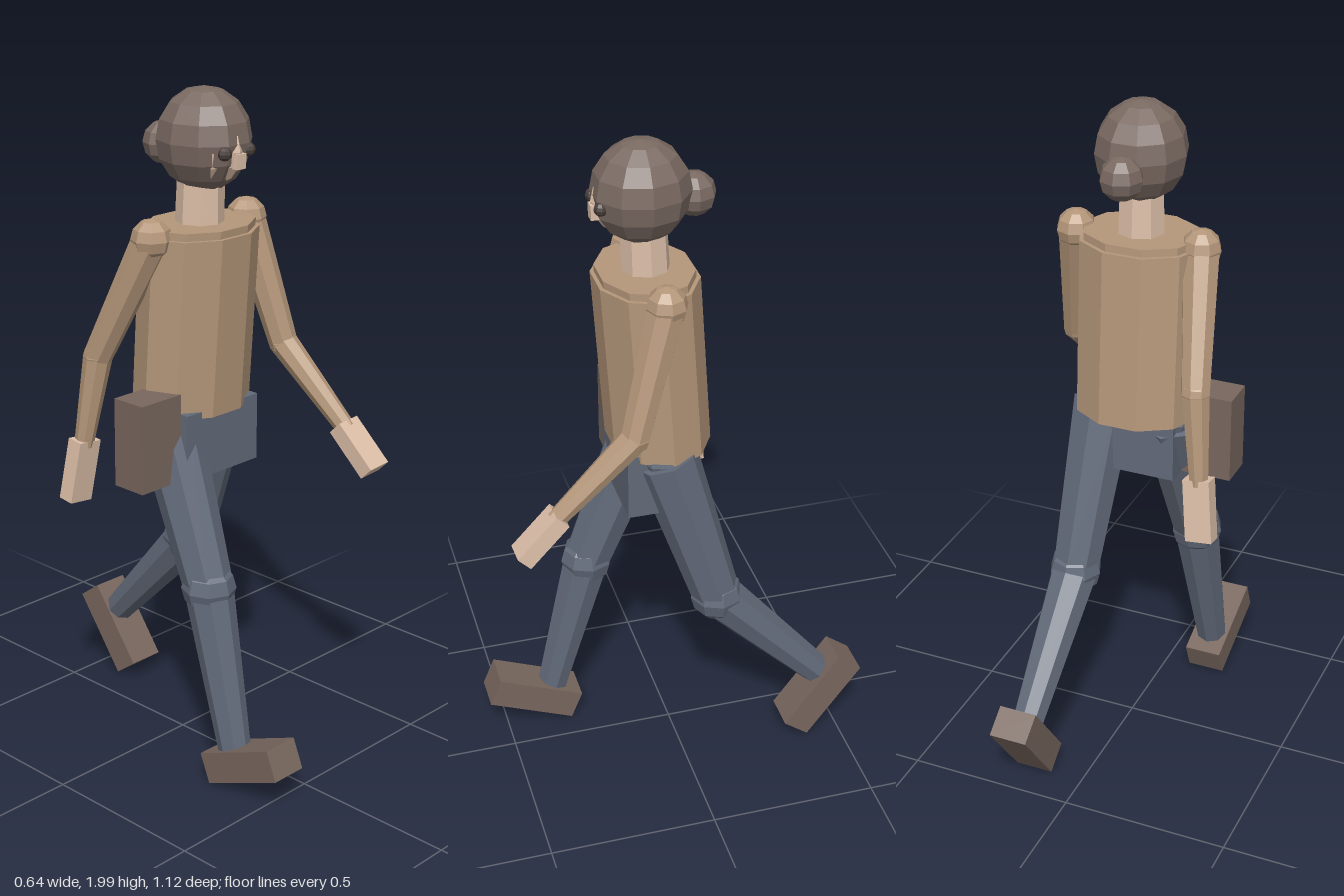
import * as THREE from 'three';

const mat = (color) => new THREE.MeshStandardMaterial({ color, flatShading: true });
const V = (p) => new THREE.Vector3(...p);

export function createModel() {
  const model = new THREE.Group();
  model.name = 'walkingFigure';
  const hair = mat(0x7a6a62), skin = mat(0xdcbfa8), shirt = mat(0xb5977a);
  const trousers = mat(0x626a79), leather = mat(0x78675e), dark = mat(0x4a3f3b);

  const add = (name, geometry, material, pos = [0, 0, 0], parent = model) => {
    const mesh = new THREE.Mesh(geometry, material);
    mesh.name = name;
    mesh.position.set(...pos);
    parent.add(mesh);
    return mesh;
  };
  const ball = (name, r, material, pos, parent, w = 8, h = 6) =>
    add(name, new THREE.SphereGeometry(r, w, h), material, pos, parent);
  const box = (name, size, material, pos, parent) =>
    add(name, new THREE.BoxGeometry(...size), material, pos, parent);

  // Tapered limb section running from a to b
  const limb = (name, a, b, ra, rb, material, parent) => {
    const d = V(b).sub(V(a));
    const mesh = add(name, new THREE.CylinderGeometry(ra, rb, d.length(), 8), material,
      V(a).add(V(b)).multiplyScalar(0.5).toArray(), parent);
    mesh.quaternion.setFromUnitVectors(V([0, -1, 0]), d.normalize());
    return mesh;
  };

  // Torso: ten-sided elliptical prism, leaning forward towards the top
  const prism = (name, rx, rz, y0, y1) => {
    const g = new THREE.CylinderGeometry(1, 1, y1 - y0, 10);
    g.rotateY(Math.PI / 2);
    g.scale(rx, 1, rz);
    g.translate(0, (y0 + y1) / 2, 0);
    const p = g.attributes.position;
    for (let i = 0; i < p.count; i++) p.setZ(i, p.getZ(i) + 0.033 + (p.getY(i) - 1.08) * 0.064);
    g.computeVertexNormals();
    return add(name, g, shirt);
  };
  prism('torso', 0.187, 0.15, 1.08, 1.6);
  prism('shoulderPlate', 0.175, 0.138, 1.59, 1.622);
  box('pelvis', [0.29, 0.2, 0.2], trousers, [0, 1.0, 0.06]);

  // Neck and head
  limb('neck', [0, 1.76, 0.07], [0, 1.6, 0.065], 0.066, 0.07, skin);
  const head = new THREE.Group();
  head.name = 'head';
  model.add(head);
  ball('hair', 1, hair, [0.004, 1.855, 0.077], head, 10, 8).scale.set(0.132, 0.145, 0.14);
  ball('face', 1, skin, [0, 1.835, 0.093], head, 8, 8).scale.set(0.1, 0.11, 0.124);
  ball('bun', 0.063, hair, [0, 1.825, -0.072], head);
  box('nose', [0.034, 0.042, 0.04], skin, [0.004, 1.81, 0.2], head);
  for (const s of [-1, 1]) ball('eye', 0.02, dark, [0.004 + s * 0.047, 1.835, 0.2], head);

  // Arms
  const arms = [
    { side: 'left', shoulder: [0.197, 1.6, 0.06], elbow: [0.248, 1.235, 0.165],
      wrist: [0.265, 1.02, 0.4], tip: [0.272, 0.92, 0.5] },
    { side: 'right', shoulder: [-0.183, 1.6, 0.06], elbow: [-0.237, 1.24, -0.105],
      wrist: [-0.265, 0.97, -0.14], tip: [-0.283, 0.805, -0.16] },
  ];
  for (const { side, shoulder, elbow, wrist, tip } of arms) {
    const arm = new THREE.Group();
    arm.name = side + 'Arm';
    model.add(arm);
    ball('shoulder', 0.059, shirt, shoulder, arm);
    limb('upperArm', shoulder, elbow, 0.054, 0.042, shirt, arm);
    ball('elbow', 0.043, shirt, elbow, arm);
    limb('forearm', elbow, wrist, 0.042, 0.028, shirt, arm);
    // Hand points along the forearm
    const d = V(tip).sub(V(wrist));
    const hand = box('hand', [0.08, d.length() + 0.02, 0.05], skin,
      V(wrist).lerp(V(tip), 0.45).toArray(), arm);
    hand.quaternion.setFromUnitVectors(V([0, -1, 0]), d.normalize());
  }

  // Legs and shoes
  const legs = [
    { side: 'right', hip: [-0.108, 1.07, 0.04], knee: [-0.122, 0.59, 0.225],
      ankle: [-0.135, 0.12, 0.345], shoe: [-0.135, 0.104, 0.41], tilt: -0.395 },
    { side: 'left', hip: [0.108, 1.07, 0.04], knee: [0.138, 0.57, -0.11],
      ankle: [0.15, 0.22, -0.435], shoe: [0.155, 0.153, -0.441], tilt: 0.93 },
  ];
  for (const { side, hip, knee, ankle, shoe, tilt } of legs) {
    const leg = new THREE.Group();
    leg.name = side + 'Leg';
    model.add(leg);
    ball('hip', 0.08, trousers, hip, leg);
    limb('thigh', hip, knee, 0.095, 0.072, trousers, leg);
    ball('knee', 0.08, trousers, knee, leg);
    limb('shin', knee, ankle, 0.072, 0.048, trousers, leg);
    box('shoe', [0.115, 0.092, 0.28], leather, shoe, leg).rotation.x = tilt;
  }

  // Bag hanging at the right hip
  box('bag', [0.152, 0.26, 0.11], leather, [-0.221, 1.03, 0.08]);

  return model;
}
